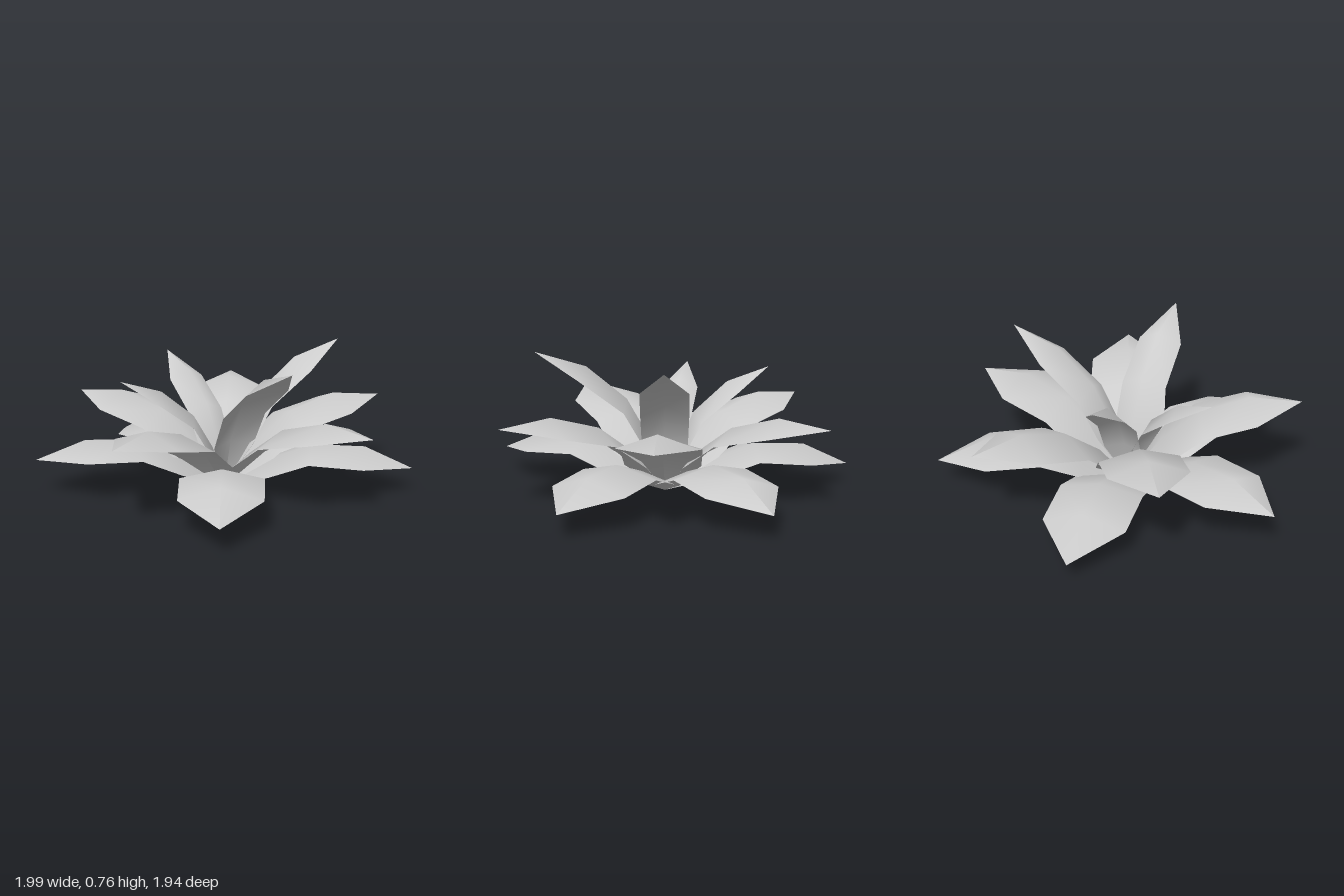
import * as THREE from 'three';

// Cross-sections from base to tip: [reach, ridge height, edge reach, edge height, half width]
const SECTIONS = [
  [0, 0, 0, 0, 0],
  [0.235, 0.16, 0.25, 0.12, 0.205],
  [0.48, 0.25, 0.46, 0.195, 0.215],
  [0.755, 0.245, 0.745, 0.175, 0.21],
  [1.01, 0.13, 1.01, 0.13, 0],
];
const TIP_LENGTH = Math.hypot(1.01, 0.13);
const TIP_ANGLE = Math.atan2(0.13, 1.01);
const BASE = new THREE.Vector3(-0.02, 0, -0.04);

// Arched, ridged petal running from the shared base to the given tip
function petalGeometry(tip, widthScale) {
  const dir = new THREE.Vector3(...tip).sub(BASE);
  const scale = dir.length() / TIP_LENGTH;
  const tilt = Math.atan2(dir.y, Math.hypot(dir.x, dir.z)) - TIP_ANGLE;

  const positions = [];
  const index = [];
  SECTIONS.forEach(([x, y, ex, ey, w]) => {
    positions.push(ex, ey, -w * widthScale, x, y, 0, ex, ey, w * widthScale);
  });
  const last = SECTIONS.length - 2;
  for (let i = 0; i <= last; i++) {
    for (let j = 0; j < 2; j++) {
      const a = i * 3 + j, b = a + 1, c = a + 3, d = a + 4;
      if (i > 0) index.push(a, b, c);
      if (i < last) index.push(b, d, c);
    }
  }
  const g = new THREE.BufferGeometry();
  g.setAttribute('position', new THREE.Float32BufferAttribute(positions, 3));
  g.setIndex(index);
  g.scale(scale, scale, scale);
  g.rotateZ(tilt);
  g.rotateY(-Math.atan2(dir.z, dir.x));
  g.translate(BASE.x, BASE.y, BASE.z);
  g.computeVertexNormals();
  return g;
}

// Three whorls, each opening less than the one below
const WHORLS = [
  { name: 'outerPetal', width: 1, tips: [
    [0.99, 0.13, -0.04], [0.05, 0.13, 0.97], [-1.0, 0.19, 0.18],
    [-0.69, 0.10, -0.81], [0.49, 0.13, -0.92]] },
  { name: 'middlePetal', width: 0.97, tips: [
    [0.76, 0.43, 0.47], [-0.48, 0.43, 0.77], [-0.87, 0.43, -0.41],
    [-0.06, 0.43, -0.97], [0.81, 0.43, -0.46]] },
  { name: 'innerPetal', width: 0.58, tips: [
    [0.58, 0.76, -0.38], [0.36, 0.76, 0.53], [-0.55, 0.61, 0.12],
    [-0.38, 0.66, -0.47]] },
];

export function createModel() {
  const model = new THREE.Group();
  model.name = 'flower';
  const petalGrey = new THREE.MeshStandardMaterial({ color: 0xcccccc, side: THREE.DoubleSide });
  petalGrey.name = 'petal grey';

  for (const { name, width, tips } of WHORLS) {
    const whorl = new THREE.Group();
    whorl.name = name + 's';
    tips.forEach((tip, i) => {
      const petal = new THREE.Mesh(petalGeometry(tip, width), petalGrey);
      petal.name = name + (i + 1);
      whorl.add(petal);
    });
    model.add(whorl);
  }
  return model;
}
